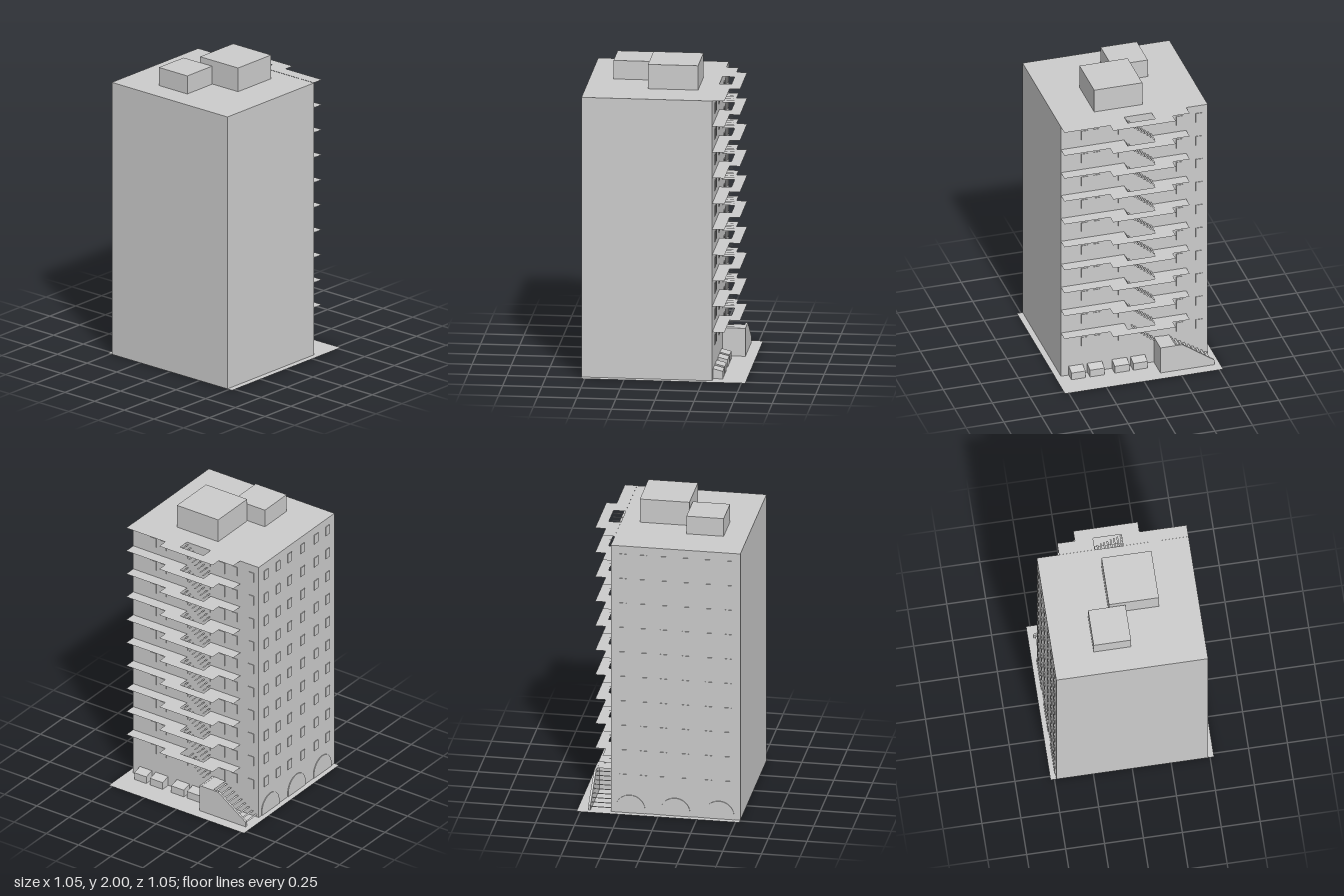
import * as THREE from 'three';

const FLOORS = 10, RISE = 0.169, FIRST = 0.32;
const WALL_X = 0.31, BACK_Z = -0.488;

export function createModel() {
  const model = new THREE.Group();
  const mat = new THREE.MeshStandardMaterial({ color: 0xcccccc, side: THREE.DoubleSide, flatShading: true });

  const add = (geometry, name, parent = model) => {
    const mesh = new THREE.Mesh(geometry, mat);
    mesh.name = name;
    parent.add(mesh);
    return mesh;
  };
  const group = (name) => {
    const g = new THREE.Group();
    g.name = name;
    model.add(g);
    return g;
  };
  // Box given by its limits on each axis
  const box = (name, [x0, x1], [y0, y1], [z0, z1], parent) => {
    const mesh = add(new THREE.BoxGeometry(x1 - x0, y1 - y0, z1 - z0), name, parent);
    mesh.position.set((x0 + x1) / 2, (y0 + y1) / 2, (z0 + z1) / 2);
    return mesh;
  };
  // Thin horizontal sheet
  const sheet = (name, x0, x1, y, z0, z1, parent) => {
    const mesh = add(new THREE.PlaneGeometry(x1 - x0, z1 - z0).rotateX(-Math.PI / 2), name, parent);
    mesh.position.set((x0 + x1) / 2, y, (z0 + z1) / 2);
    return mesh;
  };
  // Profile of [z, y] points extruded along x
  const sideProfile = (name, points, x0, x1, parent) => {
    const shape = new THREE.Shape(points.map(([z, y]) => new THREE.Vector2(-z, y)));
    const geometry = new THREE.ExtrudeGeometry(shape, { depth: x1 - x0, bevelEnabled: false });
    const mesh = add(geometry.rotateY(Math.PI / 2), name, parent);
    mesh.position.x = x0;
    return mesh;
  };

  // Ground, tower and roof blocks
  sheet('ground', -0.525, 0.525, 0, -0.525, 0.525);
  box('tower', [-0.525, WALL_X], [0.001, 1.84], [BACK_Z, 0.487]);
  box('largeRoofBlock', [-0.128, 0.192], [1.84, 2], [-0.09, 0.23]);
  box('smallRoofBlock', [-0.372, -0.132], [1.84, 1.962], [-0.225, 0.015]);

  // Walkway outline [x, z], notched at the wall for the stair opening
  const outline = [
    [0.31, 0.487], [0.388, 0.487], [0.388, 0.183], [0.455, 0.183], [0.455, -0.232], [0.388, -0.232],
    [0.388, -0.345], [0.31, -0.345], [0.31, -0.115], [0.388, -0.115], [0.388, 0.067], [0.31, 0.067],
  ];
  const walkwayGeometry = new THREE.ShapeGeometry(
    new THREE.Shape(outline.map(([x, z]) => new THREE.Vector2(x, -z)))).rotateX(-Math.PI / 2);

  // Walkways and the open flights of treads below them
  const walkways = group('walkways');
  const flights = group('stairFlights');
  for (let f = 0; f < FLOORS; f++) {
    const y = FIRST + f * RISE;
    add(walkwayGeometry, 'walkway', walkways).position.y = y;
    const skip = f === 0 ? 2 : 0;
    for (let i = skip; i < 9; i++) {
      const z = 0.061 - i * 0.0212;
      sheet('tread', WALL_X, 0.388, y - (i - skip + 1) * RISE / 10, z - 0.0053, z + 0.0053, flights);
    }
  }

  // Raised windows on the back and the walkway side
  const windows = group('windows');
  const backX = [-0.447, -0.32, -0.172, -0.03, 0.098, 0.231];
  const sideZ = [0.33, 0.25, 0.085, -0.09, -0.3, -0.43];
  for (let f = 0; f < FLOORS; f++) {
    const y = [0.2 + f * RISE, 0.265 + f * RISE];
    for (const x of backX) box('backWindow', [x - 0.022, x + 0.022], y, [BACK_Z - 0.005, BACK_Z], windows);
    for (const z of sideZ) box('sideWindow', [WALL_X, WALL_X + 0.004], y, [z - 0.022, z + 0.022], windows);
    box('door', [WALL_X, WALL_X + 0.005], [0.185 + f * RISE, 0.265 + f * RISE], [-0.226, -0.184], windows);
  }

  // Arched openings at the foot of the back wall
  const arches = group('arches');
  const arch = new THREE.Shape();
  arch.moveTo(-0.096, 0);
  arch.lineTo(0.096, 0);
  arch.lineTo(0.096, 0.025);
  arch.absarc(0, 0.025, 0.096, 0, Math.PI);
  arch.closePath();
  const archGeometry = new THREE.ExtrudeGeometry(arch, { depth: 0.005, bevelEnabled: false, curveSegments: 16 });
  for (const x of [-0.389, -0.105, 0.185]) {
    add(archGeometry, 'arch', arches).position.set(x, 0.002, BACK_Z - 0.005);
  }

  // Entrance stair: outer wall with sloped top, end wall, landing and treads
  const entrance = group('entranceStair');
  sideProfile('outerWall',
    [[-0.13, 0.001], [-0.13, 0.185], [-0.275, 0.185], [BACK_Z, 0.035], [BACK_Z, 0.001]], 0.441, 0.455, entrance);
  box('endWall', [WALL_X, 0.441], [0.001, 0.185], [-0.144, -0.13], entrance);
  sheet('landing', WALL_X, 0.441, 0.184, -0.232, -0.144, entrance);
  for (let i = 0; i < 9; i++) {
    const z = -0.47 + i * 0.0288;
    sheet('tread', WALL_X, 0.441, (i + 1) * 0.0185, z - 0.0072, z + 0.0072, entrance);
  }

  // Low bins with sloped lids along the wall
  const bins = group('bins');
  const lid = new THREE.Shape([[0, 0.001], [0.062, 0.001], [0.062, 0.05], [0, 0.066]]
    .map(([x, y]) => new THREE.Vector2(x, y)));
  for (const [z0, z1] of [[0.342, 0.435], [0.215, 0.312], [0.05, 0.148], [-0.07, 0.025]]) {
    const geometry = new THREE.ExtrudeGeometry(lid, { depth: z1 - z0, bevelEnabled: false });
    add(geometry, 'bin', bins).position.set(WALL_X, 0, z0);
  }

  return model;
}
